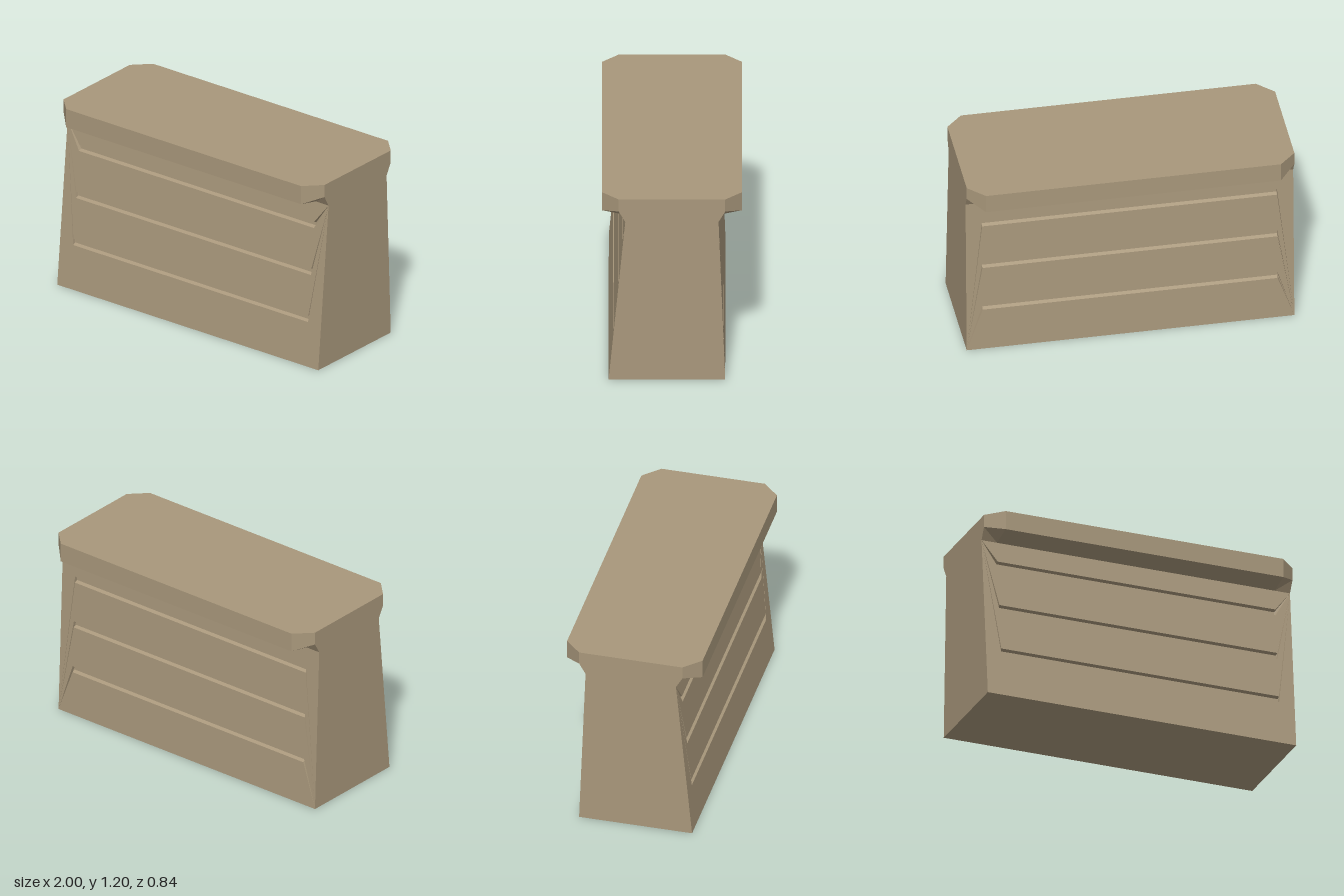
import * as THREE from 'three';

const INNER = 0.9, OUTER = 1;        // grooves stop at INNER, block ends at OUTER
const NECK = 1.05, LIP = 1.08, TOP = 1.2;
const NECK_Z = 0.28, LIP_Z = 0.42, CORNER_Z = 0.32, CORNER_Y = 1.12;
const GROOVES = [0.3, 0.6, 0.9], GROOVE_DEPTH = 0.02;

// Collects flat polygons described in the +x, +z quadrant and mirrors them
class Facets {
  constructor() { this.positions = []; }
  add(points, mx, mz) {
    for (let i = 1; i < points.length - 1; i++) {
      const tri = [points[0], points[i], points[i + 1]];
      if (mx * mz < 0) tri.reverse();
      for (const [x, y, z] of tri) this.positions.push(x * mx, y, z * mz);
    }
  }
  mesh(name, material) {
    const geometry = new THREE.BufferGeometry();
    geometry.setAttribute('position', new THREE.Float32BufferAttribute(this.positions, 3));
    geometry.computeVertexNormals();
    const mesh = new THREE.Mesh(geometry, material);
    mesh.name = name;
    return mesh;
  }
}

// Grooved outline of a sloping face, as [y, z] from the ground to the neck
function groovedProfile(baseZ) {
  const faceZ = y => baseZ + (NECK_Z - baseZ) * y / NECK;
  const points = [[0, baseZ]];
  for (const y of GROOVES) {
    for (const [dy, depth] of [[-0.02, 0], [-0.01, GROOVE_DEPTH], [0.01, GROOVE_DEPTH], [0.02, 0]]) {
      points.push([y + dy, faceZ(y + dy) - depth]);
    }
  }
  points.push([NECK, NECK_Z]);
  return points;
}

export function createModel() {
  const concrete = new THREE.MeshStandardMaterial({ color: 0xa8977b });
  concrete.name = 'sandy concrete';
  const body = new Facets(), cap = new Facets();

  for (const mz of [1, -1]) {
    const front = mz > 0;
    const baseZ = front ? 0.38 : 0.32;
    const profile = groovedProfile(baseZ);
    const foot = [OUTER, 0, baseZ], shoulder = [OUTER, NECK, NECK_Z];
    const innerFoot = [INNER, 0, baseZ], innerNeck = [INNER, NECK, NECK_Z];
    const lip = [INNER, LIP, LIP_Z], cornerLow = [OUTER, CORNER_Y, CORNER_Z];
    const lipTop = [INNER, TOP, LIP_Z], cornerTop = [OUTER, TOP, CORNER_Z];

    for (const mx of [1, -1]) {
      // sloping face: grooves run straight, then taper to one corner of the end
      const apex = front ? shoulder : foot;
      for (let i = 0; i < profile.length - 1; i++) {
        const [y0, z0] = profile[i], [y1, z1] = profile[i + 1];
        body.add([[0, y0, z0], [INNER, y0, z0], [INNER, y1, z1], [0, y1, z1]], mx, mz);
        body.add([[INNER, y0, z0], apex, [INNER, y1, z1]], mx, mz);
      }
      body.add(front ? [innerFoot, foot, shoulder] : [foot, shoulder, innerNeck], mx, mz);

      // underside and end wall
      body.add([[0, 0, 0], [OUTER, 0, 0], foot, [0, 0, baseZ]], mx, mz);
      body.add([[OUTER, NECK, 0], shoulder, foot, [OUTER, 0, 0]], mx, mz);

      // coping: sloping soffit, lip, chamfered corner, end and top
      cap.add([[0, NECK, NECK_Z], innerNeck, lip, [0, LIP, LIP_Z]], mx, mz);
      cap.add([innerNeck, shoulder, cornerLow], mx, mz);
      cap.add([innerNeck, cornerLow, lip], mx, mz);
      cap.add([[0, LIP, LIP_Z], lip, lipTop, [0, TOP, LIP_Z]], mx, mz);
      cap.add([lip, cornerLow, cornerTop, lipTop], mx, mz);
      cap.add([[OUTER, NECK, 0], [OUTER, TOP, 0], cornerTop, cornerLow, shoulder], mx, mz);
      cap.add([[0, TOP, 0], [0, TOP, LIP_Z], lipTop, cornerTop, [OUTER, TOP, 0]], mx, mz);
    }
  }

  const group = new THREE.Group();
  group.name = 'concreteBarrier';
  group.add(body.mesh('groovedWall', concrete), cap.mesh('copingCap', concrete));
  return group;
}
